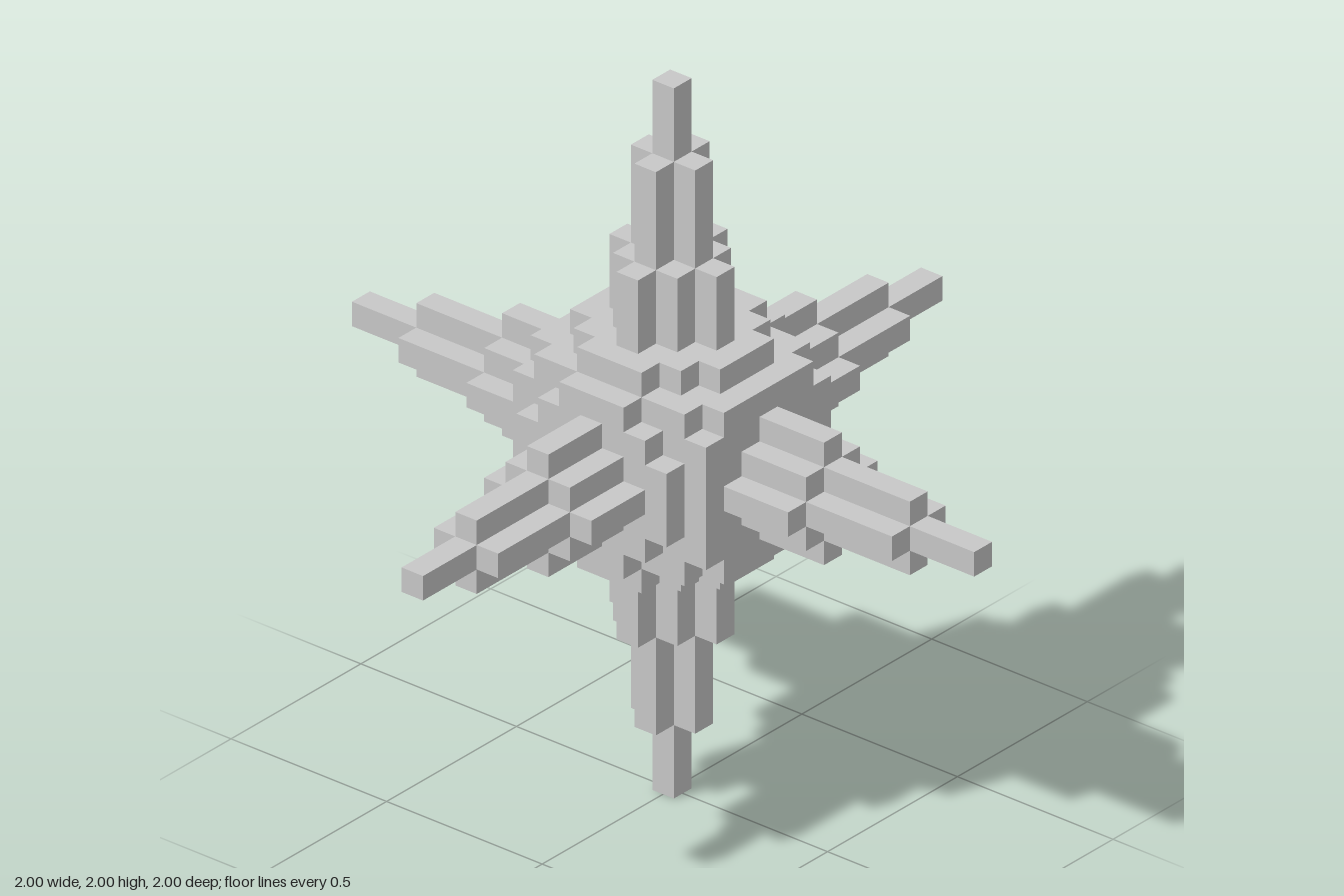
import * as THREE from 'three';

const U = 2 / 29; // one block of the 29-block grid

// Prism along +z with a stepped outline, from block z0 to z1.
// corners: outer corners in one quadrant, repeated by quarter turns.
function steppedPrism(corners, z0, z1) {
  const quadrant = [];
  corners.forEach(([x, y], i) => {
    quadrant.push([x, y]);
    if (i < corners.length - 1) quadrant.push([corners[i + 1][0], y]);
  });
  const points = [];
  for (let q = 0; q < 4; q++) {
    for (const [x, y] of quadrant) {
      const [px, py] = [[x, y], [-y, x], [-x, -y], [y, -x]][q];
      points.push(new THREE.Vector2(px * U, py * U));
    }
  }
  const geometry = new THREE.ExtrudeGeometry(new THREE.Shape(points), {
    depth: (z1 - z0) * U, bevelEnabled: false,
  });
  return geometry.translate(0, 0, z0 * U);
}

export function createModel() {
  const lightGrey = new THREE.MeshStandardMaterial({ color: 0xc8c8c8 });
  lightGrey.name = 'lightGrey';

  const model = new THREE.Group();
  model.name = 'blockStar';
  const add = (parent, name, geometry) => {
    const mesh = new THREE.Mesh(geometry, lightGrey);
    mesh.name = name;
    parent.add(mesh);
  };

  // Central block
  const body = new THREE.Group();
  body.name = 'body';
  body.position.y = 1;
  model.add(body);
  add(body, 'core', new THREE.BoxGeometry(7 * U, 7 * U, 7 * U));

  // Plates: rounder on the sides, top and bottom than on the front and back
  const roundPlate = steppedPrism([[3.5, 1.5], [2.5, 2.5], [1.5, 3.5]], 3.5, 4.5);
  const squarePlate = steppedPrism([[3.5, 2.5], [2.5, 3.5]], 3.5, 4.5);

  // Spike sections, thinning outwards
  const spikeBase = steppedPrism([[2.5, 0.5], [1.5, 1.5], [0.5, 2.5]], 4.5, 7.5);
  const spikeMiddle = steppedPrism([[1.5, 0.5], [0.5, 1.5]], 7.5, 11.5);
  const spikeTip = steppedPrism([[0.5, 0.5]], 11.5, 14.5);

  // Six arms, each turned from +z
  const h = Math.PI / 2;
  const arms = [
    ['front', 0, 0], ['back', 0, 2 * h], ['left', 0, h],
    ['right', 0, -h], ['top', -h, 0], ['bottom', h, 0],
  ];
  for (const [side, rx, ry] of arms) {
    const arm = new THREE.Group();
    arm.name = side + 'Arm';
    arm.rotation.set(rx, ry, 0);
    body.add(arm);
    add(arm, 'plate', side === 'front' || side === 'back' ? squarePlate : roundPlate);
    add(arm, 'spikeBase', spikeBase);
    add(arm, 'spikeMiddle', spikeMiddle);
    add(arm, 'spikeTip', spikeTip);
  }
  return model;
}
